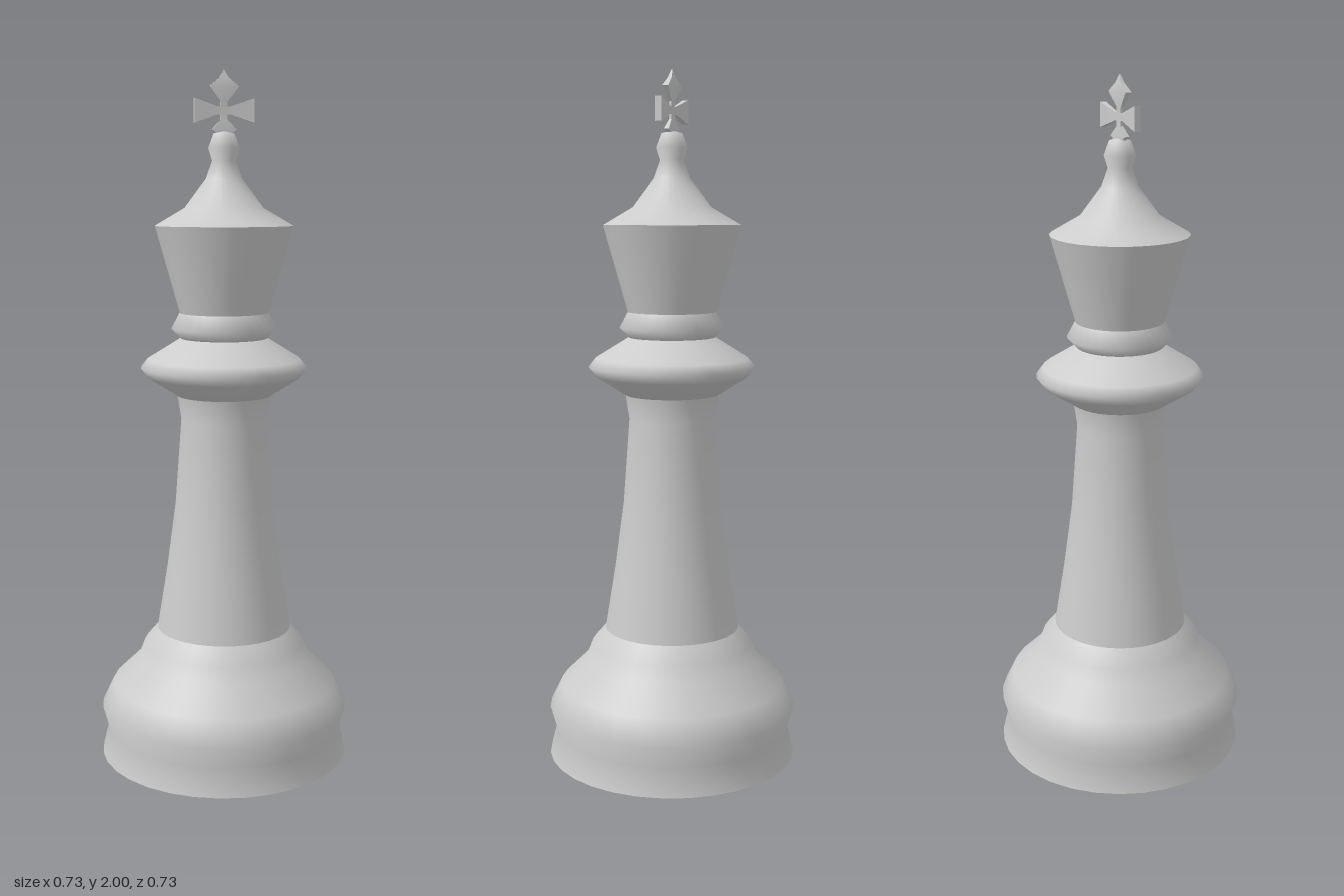
import * as THREE from 'three';
import { toCreasedNormals } from 'three/addons/utils/BufferGeometryUtils.js';

const material = new THREE.MeshStandardMaterial({ color: 0xcccccc });

// Turned part from a profile of [radius, height] points, bottom to top
function turned(name, profile) {
  const points = profile.map(([r, y]) => new THREE.Vector2(r, y));
  const mesh = new THREE.Mesh(new THREE.LatheGeometry(points, 32, Math.PI / 2), material);
  mesh.name = name;
  return mesh;
}

// Flared cross arm along +y from rows of [distance, half width, half depth]
function crossArm(name, rows, angle) {
  const n = rows.length - 1;
  const geometry = new THREE.BoxGeometry(2, n, 2, 1, n, 1);
  const p = geometry.attributes.position;
  for (let i = 0; i < p.count; i++) {
    const [y, w, d] = rows[Math.round(p.getY(i) + n / 2)];
    p.setXYZ(i, p.getX(i) * w, y, p.getZ(i) * d);
  }
  const mesh = new THREE.Mesh(toCreasedNormals(geometry, 0.5), material);
  mesh.name = name;
  mesh.rotation.z = angle;
  return mesh;
}

export function createModel() {
  const group = new THREE.Group();

  // Closed underside
  const underside = new THREE.Mesh(new THREE.CircleGeometry(0.367, 32), material);
  underside.name = 'underside';
  underside.rotation.x = Math.PI / 2;
  group.add(underside);

  // Base, stem, collar and head share their end radii
  group.add(
    turned('base', [
      [0.367, 0], [0.348, 0.08], [0.366, 0.145], [0.332, 0.215],
      [0.255, 0.29], [0.238, 0.335], [0.198, 0.382],
    ]),
    turned('stem', [[0.198, 0.382], [0.168, 0.57], [0.143, 0.76], [0.125, 1.01], [0.136, 1.08]]),
    turned('collar', [
      [0.136, 1.08], [0.222, 1.135], [0.242, 1.162], [0.222, 1.187], [0.125, 1.247],
    ]),
    turned('neckRing', [[0.125, 1.247], [0.152, 1.275], [0.128, 1.32]]),
    turned('head', [[0.128, 1.32], [0.198, 1.568]]),
    turned('crown', [
      [0.198, 1.568], [0.113, 1.618], [0.052, 1.7], [0.034, 1.75],
      [0.045, 1.785], [0.03, 1.825], [0, 1.832],
    ]),
  );

  // Thin flared cross on top
  const cross = new THREE.Group();
  cross.name = 'cross';
  cross.position.y = 1.888;
  const side = [[0, 0.01, 0.004], [0.018, 0.011, 0.004], [0.085, 0.034, 0.01]];
  cross.add(
    crossArm('leftArm', side, -Math.PI / 2),
    crossArm('rightArm', side, Math.PI / 2),
    crossArm('topArm', [
      [0, 0.01, 0.004], [0.025, 0.01, 0.004], [0.066, 0.042, 0.01], [0.09, 0.013, 0.006], [0.112, 0, 0.002],
    ], 0),
    crossArm('bottomArm', [
      [0, 0.01, 0.004], [0.025, 0.01, 0.004], [0.052, 0.035, 0.008], [0.07, 0.012, 0.006],
    ], Math.PI),
  );
  group.add(cross);

  return group;
}
